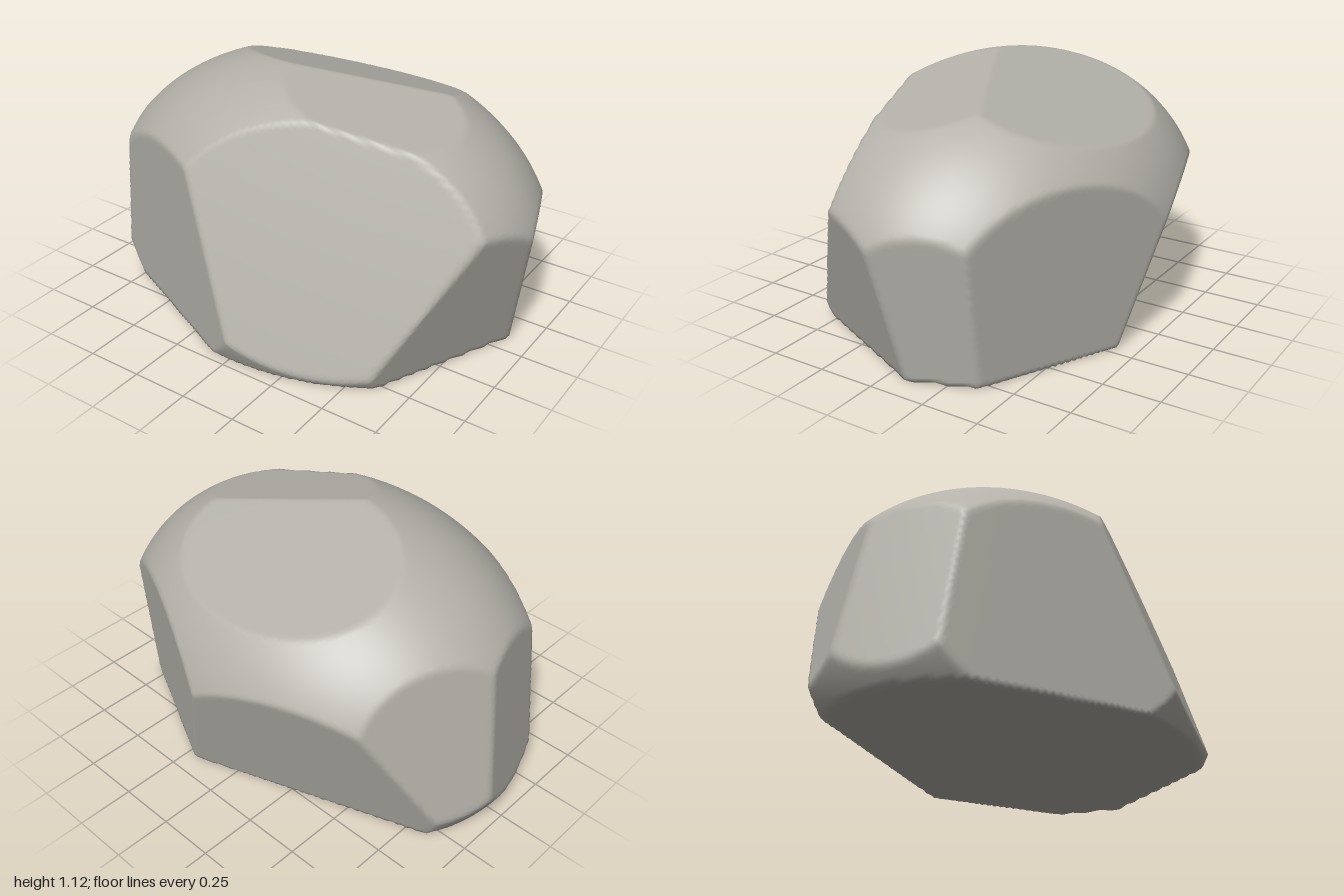
import * as THREE from 'three';
import { mergeVertices } from 'three/addons/utils/BufferGeometryUtils.js';

// Rounded base shape of the boulder
const CENTER = new THREE.Vector3(0, 0.36, 0);
const RADII = new THREE.Vector3(1.04, 0.77, 0.8);

// Worn facets: normal x, y, z and offset; the stone keeps n . p <= offset
const FACETS = [
  [0, -1, 0, 0],                  // flat underside
  [0, 1, -0.36, 1.073],           // sloping top, back
  [0.24, 1, 0.11, 1.11],          // sloping top, side
  [0.373, 0.35, 1, 0.818],        // large front
  [-0.4545, 0, 1, 0.748],         // front, -x side
  [0.489, -0.06, -1, 0.76],       // back, +x side
  [-0.345, -0.33, -1, 0.59],      // back, undercut
  [1, -0.266, 0.46, 0.854],       // +x end, front
  [1, -0.127, -0.36, 0.93],       // +x end, back
  [-1, 0.13, 0.275, 0.994],       // -x end, front
  [-1, 0.22, -0.486, 1.078],      // -x end, back
].map(([x, y, z, offset]) => ({ normal: new THREE.Vector3(x, y, z), offset }));

// Distance from the centre to the surface along a direction
function reach(dir) {
  let r = 1 / dir.clone().divide(RADII).length();
  for (const { normal, offset } of FACETS) {
    const slope = normal.dot(dir);
    if (slope > 0) r = Math.min(r, (offset - normal.dot(CENTER)) / slope);
  }
  return r;
}

export function createModel() {
  const stone = new THREE.MeshStandardMaterial({ color: 0xb3b1a9 });
  stone.name = 'stone grey';

  // Fine sphere pushed onto the faceted surface, with shared smooth normals
  let geometry = new THREE.IcosahedronGeometry(1, 56);
  geometry.deleteAttribute('uv');
  geometry.deleteAttribute('normal');
  geometry = mergeVertices(geometry, 1e-5);
  const position = geometry.attributes.position;
  const v = new THREE.Vector3();
  for (let i = 0; i < position.count; i++) {
    v.fromBufferAttribute(position, i).normalize();
    v.multiplyScalar(reach(v)).add(CENTER);
    position.setXYZ(i, v.x, v.y, v.z);
  }
  geometry.computeVertexNormals();

  const boulder = new THREE.Mesh(geometry, stone);
  boulder.name = 'boulder';
  const group = new THREE.Group();
  group.name = 'rock';
  group.add(boulder);
  return group;
}
